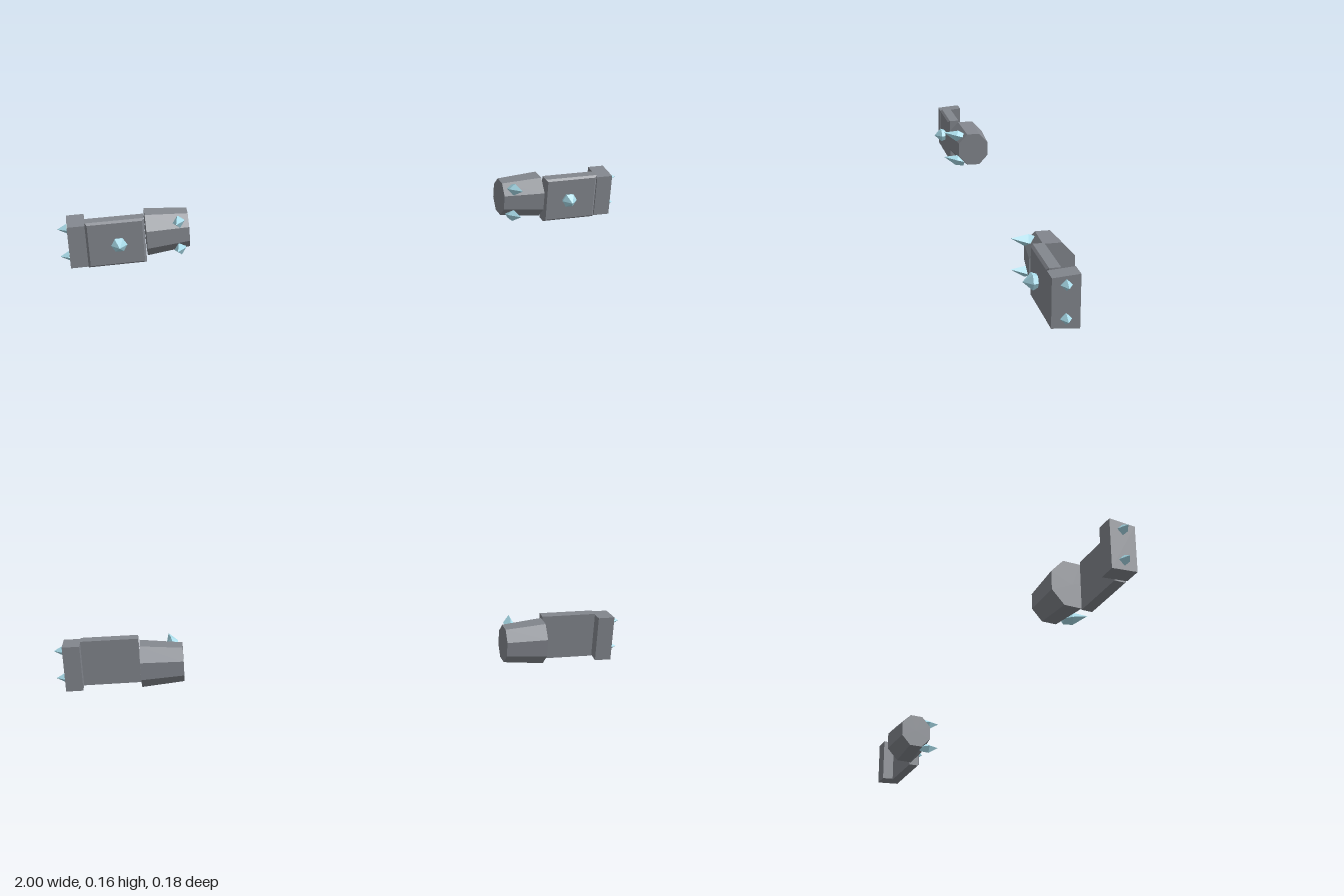
import * as THREE from 'three';

const metal = new THREE.MeshStandardMaterial({ color: 0x83878e, flatShading: true });
const crystal = new THREE.MeshStandardMaterial({ color: 0xa9dcea, flatShading: true });
const MID_Y = 0.082;

// Move every vertex of a geometry by a rule.
function reshape(geometry, rule) {
  const pos = geometry.attributes.position;
  const v = new THREE.Vector3();
  for (let i = 0; i < pos.count; i++) {
    rule(v.fromBufferAttribute(pos, i));
    pos.setXYZ(i, v.x, v.y, v.z);
  }
  geometry.computeVertexNormals();
  return geometry;
}

function addMesh(parent, name, geometry, material, x, y, z) {
  const mesh = new THREE.Mesh(geometry, material);
  mesh.name = name;
  mesh.position.set(x, y, z);
  parent.add(mesh);
  return mesh;
}

// Faceted spike: widest ring at `base`, point at `tip`, root narrowing behind it.
function addSpike(parent, name, base, tip, radius, root, sides, twist = 0) {
  const dir = new THREE.Vector3().subVectors(tip, base);
  const profile = [
    new THREE.Vector2(0, -root),
    new THREE.Vector2(radius * 0.7, -root),
    new THREE.Vector2(radius, 0),
    new THREE.Vector2(0, dir.length()),
  ];
  const geometry = new THREE.LatheGeometry(profile, sides).rotateY(twist);
  const mesh = addMesh(parent, name, geometry, crystal, base.x, base.y, base.z);
  mesh.quaternion.setFromUnitVectors(new THREE.Vector3(0, 1, 0), dir.normalize());
}

// One arm; s is +1 for the left side, -1 for the right.
function createArm(s) {
  const arm = new THREE.Group();
  arm.name = s > 0 ? 'leftArm' : 'rightArm';
  const at = (x, y, z) => new THREE.Vector3(s * x, y, z);

  // Tapered octagonal cuff, its narrow end toward the middle
  const cuff = new THREE.CylinderGeometry(0.0758, 0.0625, 0.145, 8)
    .rotateY(Math.PI / 8)
    .rotateZ(-s * Math.PI / 2);
  reshape(cuff, (v) => {
    v.y *= 1.085;
    if (v.x * s < 0) v.z -= 0.006;
  });
  addMesh(arm, 'cuff', cuff, metal, s * 0.6375, MID_Y + 0.001, -0.0215);

  // Flat plate with a bevelled front
  const depth = 0.042, bevel = 0.007;
  const plate = reshape(new THREE.BoxGeometry(0.195, 0.164, depth, 1, 1, 2), (v) => {
    if (Math.abs(v.z) < 1e-6) v.z = depth / 2 - bevel;
    else if (v.z > 0) {
      v.x -= Math.sign(v.x) * bevel;
      v.y -= Math.sign(v.y) * bevel;
    }
  });
  addMesh(arm, 'plate', plate, metal, s * 0.8125, MID_Y, 0.026);

  // End block, slightly shorter at the front
  const block = reshape(new THREE.BoxGeometry(0.058, 0.164, 0.084), (v) => {
    if (v.z > 0) v.y *= 0.92;
  });
  addMesh(arm, 'endBlock', block, metal, s * 0.939, MID_Y, 0.005);

  // Spikes
  addSpike(arm, 'plateSpike', at(0.803, MID_Y + 0.001, 0.063), at(0.803, MID_Y + 0.001, 0.091),
    0.027, 0.02, 6, Math.PI / 6);
  for (const y of [0.034, 0.135]) {
    addSpike(arm, 'endSpike', at(0.97, y, 0.005), at(1.0, y, 0.005), 0.0175, 0.012, 4);
    addSpike(arm, 'cuffSpike', at(0.6, y - 0.002, 0.032), at(0.612, y + 0.011, 0.083), 0.021, 0.03, 4);
  }
  return arm;
}

export function createModel() {
  const model = new THREE.Group();
  model.name = 'spikedArms';
  for (const s of [1, -1]) model.add(createArm(s));
  return model;
}
